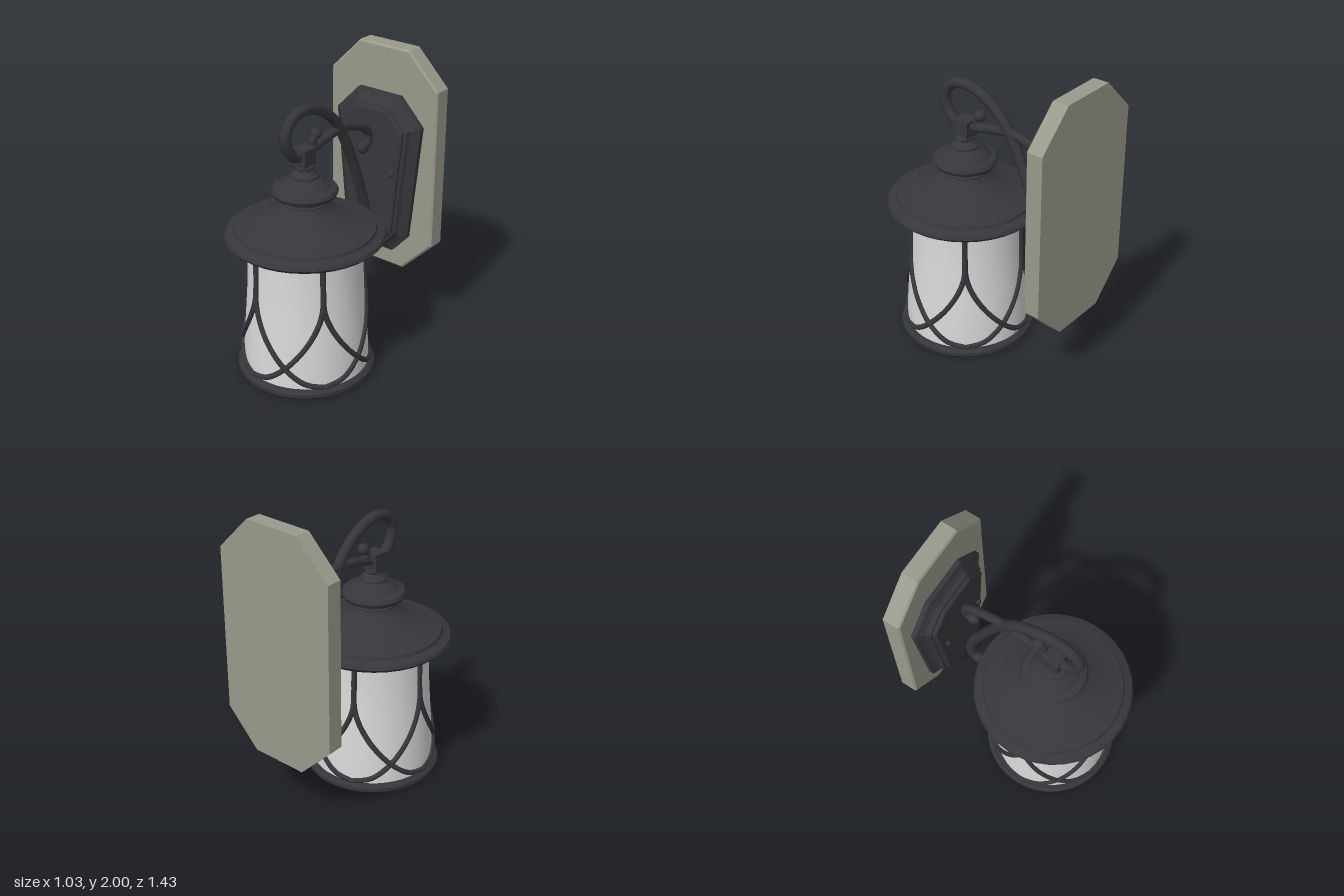
import * as THREE from 'three';
import { toCreasedNormals } from 'three/addons/utils/BufferGeometryUtils.js';

const AXIS_Z = 0.2;
const ARM_X = -0.013;

export function createModel() {
  const metal = new THREE.MeshStandardMaterial({ color: 0x37363b });
  metal.name = 'dark metal';
  const stone = new THREE.MeshStandardMaterial({ color: 0x99998c });
  stone.name = 'grey beige backing';
  const glass = new THREE.MeshStandardMaterial({ color: 0xd8d8d8, side: THREE.DoubleSide });
  glass.name = 'white glass';

  const model = new THREE.Group();
  model.name = 'wallLantern';

  const add = (parent, name, geometry, material, x = 0, y = 0, z = 0) => {
    const mesh = new THREE.Mesh(geometry, material);
    mesh.name = name;
    mesh.position.set(x, y, z);
    parent.add(mesh);
    return mesh;
  };
  const lathe = (points, segments = 36) => toCreasedNormals(
    new THREE.LatheGeometry(points.map(([r, y]) => new THREE.Vector2(r, y)), segments), 0.6);

  // Moves every edge of a convex counter-clockwise outline inward by d
  const inset = (outline, d) => outline.map(([x, y], i) => {
    const n = outline.length;
    const a = outline[(i + n - 1) % n], b = outline[(i + 1) % n];
    const u = new THREE.Vector2(x - a[0], y - a[1]).normalize();
    const v = new THREE.Vector2(b[0] - x, b[1] - y).normalize();
    const k = d / (1 + u.dot(v));
    return [x - (u.y + v.y) * k, y + (u.x + v.x) * k];
  });

  // Stacks inset outlines along z and caps both ends; levels are [inset, z]
  const steppedPlate = (outline, levels) => {
    const n = outline.length, pos = [], index = [];
    levels.forEach(([d, z]) => inset(outline, d).forEach(([x, y]) => pos.push(x, y, z)));
    for (let l = 0; l < levels.length - 1; l++) {
      for (let i = 0; i < n; i++) {
        const a = l * n + i, b = l * n + (i + 1) % n;
        index.push(a, b, b + n, a, b + n, a + n);
      }
    }
    const last = (levels.length - 1) * n;
    for (let i = 1; i < n - 1; i++) {
      index.push(0, i + 1, i, last, last + i, last + i + 1);
    }
    const g = new THREE.BufferGeometry();
    g.setAttribute('position', new THREE.Float32BufferAttribute(pos, 3));
    g.setIndex(index);
    return toCreasedNormals(g, 0.3);
  };

  // Octagonal backing board
  add(model, 'backingBoard', steppedPlate([
    [-0.195, 0.435], [0.195, 0.435], [0.427, 0.67], [0.427, 1.768],
    [0.195, 2], [-0.195, 2], [-0.427, 1.768], [-0.427, 0.67],
  ], [[0, -0.72], [0, -0.615], [0.012, -0.604]]), stone, -0.0145);

  // Tapered metal wall plate with moulded steps
  add(model, 'wallPlate', steppedPlate([
    [-0.14, 0.565], [0.14, 0.565], [0.26, 0.70], [0.342, 1.51],
    [0.167, 1.69], [-0.167, 1.69], [-0.342, 1.51], [-0.26, 0.70],
  ], [[0, -0.606], [0, -0.572], [0.03, -0.56], [0.055, -0.54], [0.068, -0.515],
    [0.085, -0.51], [0.085, -0.495], [0.097, -0.487]]), metal, -0.024);
  for (const side of [-1, 1]) {
    add(model, 'plateScrew', new THREE.SphereGeometry(0.02, 12, 8), metal, ARM_X + side * 0.17, 1.18, -0.485);
  }

  // Lantern head
  const lantern = new THREE.Group();
  lantern.name = 'lantern';
  lantern.position.set(-0.006, 0, AXIS_Z);
  model.add(lantern);

  const glassProfile = [[0.414, 0.03], [0.408, 0.2], [0.393, 0.4], [0.378, 0.6], [0.371, 0.75], [0.368, 0.93]];
  add(lantern, 'glassShade', lathe(glassProfile, 48), glass);
  add(lantern, 'baseRing', lathe([
    [0.4, 0.008], [0.435, 0], [0.453, 0.018], [0.453, 0.042], [0.435, 0.06], [0.4, 0.06], [0.4, 0.008],
  ]), metal);
  add(lantern, 'roof', lathe([
    [0, 0.93], [0.36, 0.93], [0.37, 0.9], [0.405, 0.9], [0.43, 0.925], [0.49, 0.945], [0.514, 0.97],
    [0.505, 0.99], [0.455, 1.008], [0.448, 1.028], [0.425, 1.032], [0.34, 1.055], [0.25, 1.093],
    [0.185, 1.135], [0.145, 1.17], [0.137, 1.185], [0.147, 1.19], [0.147, 1.2], [0.135, 1.205], [0.14, 1.225],
  ]), metal);
  add(lantern, 'roofKnob', lathe([
    [0.13, 1.215], [0.16, 1.23], [0.2, 1.245], [0.211, 1.27], [0.2, 1.292], [0.16, 1.305], [0.145, 1.325],
    [0.105, 1.345], [0.088, 1.36], [0.088, 1.375], [0.065, 1.395], [0.05, 1.41], [0.062, 1.42],
    [0.062, 1.435], [0.045, 1.445], [0, 1.45],
  ]), metal);
  add(lantern, 'hangerBlock', new THREE.BoxGeometry(0.108, 0.115, 0.108), metal, -0.007, 1.495, 0);

  // Lattice: five ribs, each splitting into two curves that sweep down to the base
  const glassRadius = (y) => {
    let i = 0;
    while (i < glassProfile.length - 2 && y > glassProfile[i + 1][1]) i++;
    const [r0, y0] = glassProfile[i], [r1, y1] = glassProfile[i + 1];
    return THREE.MathUtils.mapLinear(y, y0, y1, r0, r1);
  };
  const sweep = [[0, 0.92], [0, 0.75], [1, 0.6], [7, 0.48], [19, 0.34], [36, 0.2], [54, 0.1], [72, 0.066]];
  for (let rib = 0; rib < 5; rib++) {
    for (const side of [-1, 1]) {
      const path = sweep.map(([turn, y]) => {
        const angle = THREE.MathUtils.degToRad(-15 + rib * 72 + side * turn);
        const r = glassRadius(y) + 0.004;
        return new THREE.Vector3(Math.sin(angle) * r, y, Math.cos(angle) * r);
      });
      add(lantern, 'latticeRib', new THREE.TubeGeometry(
        new THREE.CatmullRomCurve3(path, false, 'centripetal'), 40, 0.018, 8), metal);
    }
  }

  // Scrolled arm in the z-y plane, with rounded ends
  const arm = new THREE.Group();
  arm.name = 'scrollArm';
  arm.position.x = ARM_X;
  model.add(arm);
  const scroll = (name, points, radius, startBall, endBall) => {
    const path = points.map(([z, y]) => new THREE.Vector3(0, y, z));
    const tube = new THREE.TubeGeometry(new THREE.CatmullRomCurve3(path), points.length * 6, radius, 8);
    add(arm, name, tube, metal);
    [[path[0], startBall], [path[path.length - 1], endBall]].forEach(([p, r]) => {
      add(arm, name + 'End', new THREE.SphereGeometry(r, 14, 10), metal, 0, p.y, p.z).scale.x = Math.min(1, 0.036 / r);
    });
  };
  scroll('mainScroll', [
    [0.235, 1.5], [0.29, 1.515], [0.345, 1.575], [0.368, 1.67], [0.31, 1.76], [0.19, 1.79], [0.05, 1.75],
    [-0.075, 1.66], [-0.17, 1.535], [-0.265, 1.345], [-0.36, 1.105], [-0.425, 0.92], [-0.445, 0.77],
    [-0.425, 0.705], [-0.385, 0.685],
  ], 0.035, 0.034, 0.048);
  scroll('upperScroll', [
    [0.17, 1.5], [0.08, 1.525], [-0.04, 1.55], [-0.16, 1.565], [-0.29, 1.54], [-0.4, 1.495],
    [-0.45, 1.435], [-0.44, 1.375], [-0.395, 1.355],
  ], 0.03, 0.03, 0.04);
  scroll('smallCurl', [
    [0.05, 1.53], [0.1, 1.535], [0.115, 1.565], [0.085, 1.605],
  ], 0.026, 0.026, 0.038);

  return model;
}
